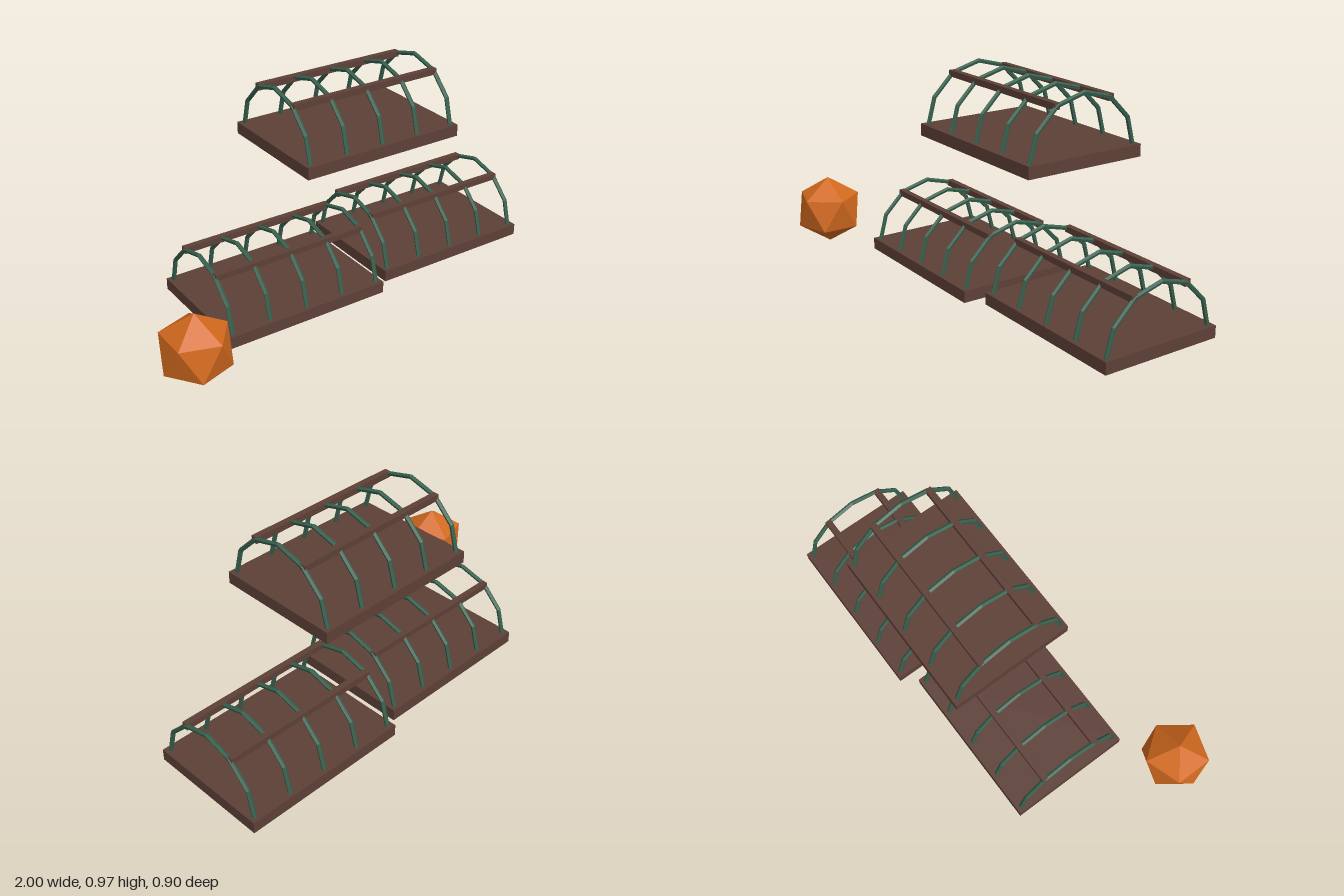
import * as THREE from 'three';

const brown = new THREE.MeshStandardMaterial({ color: 0x5d4037 });
brown.name = 'brown wood';
const green = new THREE.MeshStandardMaterial({ color: 0x38614f });
green.name = 'green frame';
const orange = new THREE.MeshStandardMaterial({ color: 0xd2691e });
orange.name = 'orange';

function part(parent, name, geometry, material, x, y, z) {
  const mesh = new THREE.Mesh(geometry, material);
  mesh.name = name;
  mesh.position.set(x, y, z);
  parent.add(mesh);
  return mesh;
}

// faceted half hoop standing in the yz plane
function archGeometry() {
  const torus = new THREE.TorusGeometry(0.268, 0.0105, 5, 6, Math.PI);
  torus.rotateY(Math.PI / 2);
  const flat = torus.toNonIndexed();
  flat.computeVertexNormals();
  return flat;
}

// platform with five hoops and two long rails
function createTunnel(name, x, y, z) {
  const tunnel = new THREE.Group();
  tunnel.name = name;
  tunnel.position.set(x, y, z);
  part(tunnel, 'platform', new THREE.BoxGeometry(0.787, 0.054, 0.573), brown, 0, 0.027, 0);
  const arch = archGeometry();
  for (let i = -2; i <= 2; i++) part(tunnel, 'arch', arch, green, i * 0.184, 0.036, 0);
  const rail = new THREE.BoxGeometry(0.745, 0.028, 0.028);
  for (const side of [-1, 1]) part(tunnel, 'rail', rail, brown, 0, 0.266, side * 0.137);
  return tunnel;
}

export function createModel() {
  const model = new THREE.Group();
  model.name = 'tunnelPlatforms';
  model.add(createTunnel('leftLowerTunnel', 0.606, 0, -0.165));
  model.add(createTunnel('rightLowerTunnel', -0.243, 0, -0.098));
  model.add(createTunnel('upperTunnel', 0.167, 0.656, -0.124));

  // twenty-sided ball balanced on one corner
  const ball = new THREE.IcosahedronGeometry(0.162, 0);
  ball.rotateZ(-Math.atan(2 / (1 + Math.sqrt(5))));
  part(model, 'ball', ball, orange, -0.855, 0.165, 0.314);
  return model;
}
